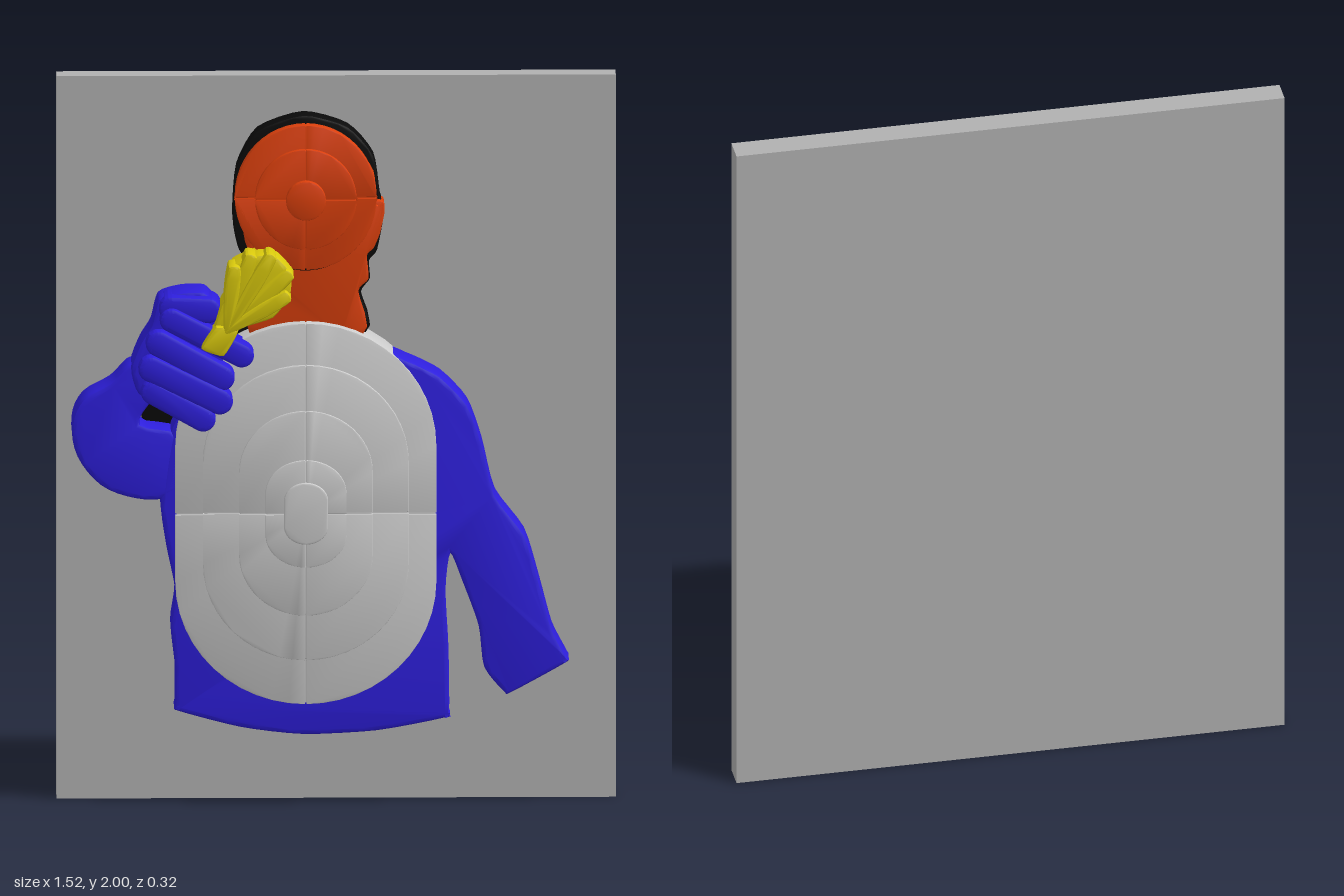
import * as THREE from 'three';
import { toCreasedNormals } from 'three/addons/utils/BufferGeometryUtils.js';

const mat = (color) => new THREE.MeshStandardMaterial({ color });
const BOARD = mat(0xb0b0b0), GREY = mat(0xcccccc), BLUE = mat(0x2d1edb);
const ORANGE = mat(0xdc400c), YELLOW = mat(0xd8c80c), BLACK = mat(0x0a0a0a);
const BACK = -0.09; // front face of the board
const CX = -0.085; // axis of both targets

// closed outline through a few [x, y] points; small tension keeps corners crisp
function outline(pts, tension = 0.35, n = 4) {
  const curve = new THREE.CatmullRomCurve3(
    pts.map(([x, y]) => new THREE.Vector3(x, y, 0)), true, 'catmullrom', tension);
  const out = curve.getPoints(pts.length * n).slice(0, -1);
  return new THREE.Shape(out.map((p) => new THREE.Vector2(p.x, p.y)));
}

// relief slab between two depths with a softly rounded front edge
function slab(name, shape, z0, z1, material, bevel = 0.006) {
  const geo = new THREE.ExtrudeGeometry(shape, {
    depth: z1 - z0 - 2 * bevel, bevelEnabled: bevel > 0, bevelSize: bevel,
    bevelThickness: bevel, bevelOffset: -bevel, bevelSegments: 2, curveSegments: 16,
  });
  geo.translate(0, 0, z0 + bevel);
  const mesh = new THREE.Mesh(toCreasedNormals(geo, 0.6), material);
  mesh.name = name;
  return mesh;
}

// stadium of half width w, half height h, with elliptical ends of height c
function stadium(w, h, c, cx, cy) {
  const s = new THREE.Shape();
  s.moveTo(cx + w, cy - h + c);
  s.lineTo(cx + w, cy + h - c);
  s.absellipse(cx, cy + h - c, w, c, 0, Math.PI, false);
  s.lineTo(cx - w, cy - h + c);
  s.absellipse(cx, cy - h + c, w, c, Math.PI, 2 * Math.PI, false);
  return s;
}

// one quarter of the stadium, kept a hair off the axes to leave grooves
function quarter(w, h, c, cx, cy, sx, sy, gap = 0.002) {
  const pts = [new THREE.Vector2(cx + sx * gap, cy + sy * gap),
    new THREE.Vector2(cx + sx * w, cy + sy * gap)];
  for (let i = 0; i <= 12; i++) {
    const a = (i / 12) * Math.PI / 2;
    pts.push(new THREE.Vector2(cx + sx * Math.max(gap, w * Math.cos(a)),
      cy + sy * (h - c + c * Math.sin(a))));
  }
  return new THREE.Shape(pts);
}

// stepped target: each tier is a solid core capped by four quarters
function target(name, tiers, cx, z0, material) {
  const g = new THREE.Group();
  g.name = name;
  tiers.forEach(([w, h, c, cy, top], i) => {
    const base = i ? tiers[i - 1][4] - 0.01 : z0;
    if (i === tiers.length - 1) {
      g.add(slab('bullseye', stadium(w, h, c, cx, cy), base, top, material, 0.004));
      return;
    }
    g.add(slab('tierCore', stadium(w - 0.003, h - 0.003, c, cx, cy), base, top - 0.005, material, 0.002));
    for (const sx of [-1, 1]) for (const sy of [-1, 1])
      g.add(slab('tierQuarter', quarter(w, h, c, cx, cy, sx, sy), base, top, material, 0.002));
  });
  return g;
}

// finger: capsule outline between two points
function finger(x0, y0, x1, y1, r) {
  const a = Math.atan2(y1 - y0, x1 - x0), s = new THREE.Shape();
  s.absarc(x1, y1, r, a - Math.PI / 2, a + Math.PI / 2, false);
  s.absarc(x0, y0, r, a + Math.PI / 2, a + Math.PI * 1.5, false);
  return s;
}

export function createModel() {
  const model = new THREE.Group();

  const board = new THREE.Mesh(new THREE.BoxGeometry(1.52, 2, 0.07), BOARD);
  board.name = 'backBoard';
  board.position.set(0, 1, -0.125);
  model.add(board);

  // torso with the hanging left arm
  model.add(slab('torsoAndLeftArm', outline([
    [0.1, 1.26], [0.19, 1.235], [0.28, 1.19], [0.355, 1.11], [0.395, 1.0], [0.43, 0.86],
    [0.51, 0.75], [0.55, 0.62], [0.585, 0.49], [0.625, 0.41], [0.62, 0.395], [0.475, 0.315],
    [0.455, 0.315], [0.4, 0.385], [0.385, 0.5], [0.34, 0.625], [0.308, 0.7], [0.295, 0.6],
    [0.303, 0.44], [0.305, 0.26], [0.295, 0.245], [0.11, 0.21], [-0.09, 0.2], [-0.26, 0.22],
    [-0.43, 0.265], [-0.44, 0.28], [-0.44, 0.385], [-0.452, 0.5], [-0.44, 0.6], [-0.465, 0.73],
    [-0.48, 0.86], [-0.45, 1.05], [-0.38, 1.15], [-0.25, 1.24],
  ]), BACK, 0.042, BLUE, 0.012));

  // bent right arm
  model.add(slab('rightArm', outline([
    [-0.47, 0.855], [-0.55, 0.855], [-0.64, 0.89], [-0.705, 0.97], [-0.72, 1.06], [-0.69, 1.13],
    [-0.615, 1.175], [-0.55, 1.23], [-0.45, 1.2], [-0.5, 1.13], [-0.535, 1.06], [-0.43, 1.03],
    [-0.42, 0.9],
  ], 0.5), BACK, 0.042, BLUE, 0.012));

  model.add(target('chestTarget', [
    [0.355, 0.527, 0.34, 0.813, 0.05],
    [0.28, 0.408, 0.27, 0.818, 0.063],
    [0.182, 0.283, 0.17, 0.818, 0.071],
    [0.11, 0.148, 0.09, 0.818, 0.08],
    [0.06, 0.085, 0.05, 0.82, 0.09],
  ], CX, BACK, GREY));

  // head: dark rear layer, then face and neck, then the round target
  model.add(slab('headBacking', outline([
    [-0.235, 1.3], [-0.215, 1.46], [-0.265, 1.53], [-0.283, 1.62], [-0.272, 1.76], [-0.215, 1.86],
    [-0.09, 1.903], [0.03, 1.87], [0.1, 1.79], [0.118, 1.68], [0.13, 1.64], [0.11, 1.53],
    [0.088, 1.5], [0.09, 1.45], [0.065, 1.41], [0.078, 1.3],
  ]), BACK, -0.02, BLACK));
  model.add(slab('faceAndNeck', outline([
    [-0.235, 1.3], [-0.21, 1.46], [-0.25, 1.56], [-0.26, 1.7], [-0.2, 1.84], [-0.085, 1.875],
    [0.04, 1.83], [0.1, 1.75], [0.108, 1.66], [0.128, 1.665], [0.12, 1.59], [0.1, 1.54],
    [0.082, 1.52], [0.086, 1.455], [0.058, 1.42], [0.07, 1.3],
  ]), -0.022, 0.012, ORANGE));
  const ear = slab('ear', outline([
    [0.09, 1.66], [0.125, 1.668], [0.13, 1.64], [0.118, 1.585], [0.095, 1.54],
  ]), -0.08, 0.005, ORANGE);
  model.add(ear);
  model.add(slab('jawShadow', stadium(0.17, 0.17, 0.17, CX, 1.65), 0, 0.016, BLACK, 0.002));
  model.add(target('headTarget', [
    [0.193, 0.2, 0.2, 1.687, 0.045],
    [0.138, 0.138, 0.138, 1.685, 0.063],
    [0.054, 0.054, 0.054, 1.685, 0.085],
  ], CX, 0.005, ORANGE));

  // right hand: dark backing, palm, thumb and curled fingers
  model.add(slab('handBacking', outline([
    [-0.53, 1.06], [-0.44, 1.04], [-0.3, 1.13], [-0.23, 1.24], [-0.22, 1.32], [-0.27, 1.34],
    [-0.42, 1.36], [-0.5, 1.25],
  ]), BACK, -0.06, BLACK));
  model.add(slab('palm', outline([
    [-0.56, 1.22], [-0.535, 1.29], [-0.505, 1.34], [-0.485, 1.41], [-0.425, 1.43], [-0.36, 1.43],
    [-0.325, 1.39], [-0.3, 1.33], [-0.31, 1.24], [-0.32, 1.12], [-0.4, 1.07], [-0.47, 1.11],
    [-0.54, 1.15],
  ]), -0.065, 0.07, BLUE, 0.012));
  const fingers = [
    [-0.45, 1.36, -0.26, 1.262, 0.033], [-0.485, 1.295, -0.315, 1.2, 0.036],
    [-0.505, 1.225, -0.32, 1.135, 0.036], [-0.5, 1.16, -0.365, 1.085, 0.034],
  ];
  fingers.forEach(([x0, y0, x1, y1, r], i) =>
    model.add(slab('finger', finger(x0, y0, x1, y1, r), 0, 0.112 - 0.004 * (i % 2), BLUE, 0.012)));
  model.add(slab('thumb', finger(-0.45, 1.39, -0.35, 1.385, 0.035), -0.03, 0.1, BLUE, 0.012));

  // gathered bundle held in the hand: stem, body and fanned folds
  model.add(slab('bundleStem', outline([
    [-0.37, 1.29], [-0.33, 1.35], [-0.27, 1.34], [-0.31, 1.27],
  ], 0.2), 0, 0.155, YELLOW));
  model.add(slab('bundleBody', outline([
    [-0.335, 1.33], [-0.315, 1.41], [-0.265, 1.485], [-0.285, 1.515], [-0.22, 1.545],
    [-0.165, 1.54], [-0.125, 1.495], [-0.13, 1.43], [-0.175, 1.37], [-0.27, 1.34],
  ], 0.25), 0, 0.13, YELLOW, 0.012));
  const tips = [[-0.28, 1.515], [-0.235, 1.545], [-0.18, 1.545], [-0.13, 1.495], [-0.135, 1.435]];
  tips.forEach(([x, y], i) => {
    const dx = x + 0.3, dy = y - 1.34, l = Math.hypot(dx, dy);
    const nx = -dy / l * 0.02, ny = dx / l * 0.02;
    const mx = -0.3 + dx * 0.6, my = 1.34 + dy * 0.6;
    model.add(slab('bundleFold', outline([
      [-0.3 - nx * 0.5, 1.34 - ny * 0.5], [mx - nx, my - ny], [x - nx * 0.8, y - ny * 0.8],
      [x + nx * 0.8, y + ny * 0.8], [mx + nx, my + ny], [-0.3 + nx * 0.5, 1.34 + ny * 0.5],
    ], 0.3), 0.05, 0.157 - 0.007 * (i % 2), YELLOW, 0.007));
  });

  return model;
}
